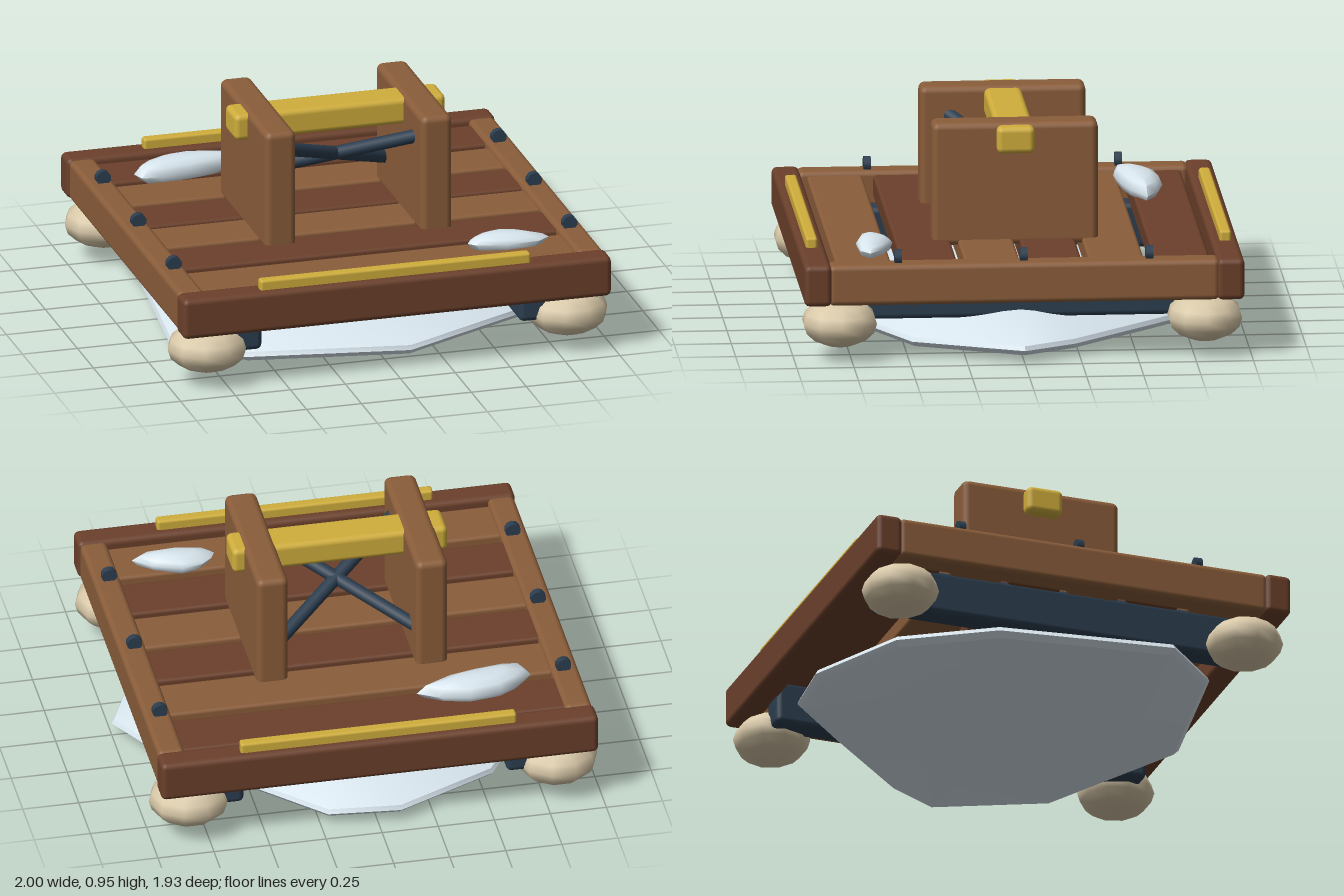
import * as THREE from 'three';
import { RoundedBoxGeometry } from 'three/addons/geometries/RoundedBoxGeometry.js';
import { toCreasedNormals } from 'three/addons/utils/BufferGeometryUtils.js';

const mat = (color) => new THREE.MeshStandardMaterial({ color });

export function createModel() {
  const model = new THREE.Group();
  const darkWood = mat(0x6b402b), lightWood = mat(0x8a5d3a), gold = mat(0xd0ae3c);
  const steel = mat(0x2c3e50), stone = mat(0xd8c8a8), snow = mat(0xd9e6ee);

  const add = (name, geometry, material, x = 0, y = 0, z = 0) => {
    const mesh = new THREE.Mesh(geometry, material);
    mesh.name = name;
    mesh.position.set(x, y, z);
    model.add(mesh);
    return mesh;
  };
  const box = (name, material, [w, h, d], [x, y, z], r = 0.025) =>
    add(name, new RoundedBoxGeometry(w, h, d, 2, r), material, x, y, z);

  // Round bar between two points
  const bar = (name, a, b, r) => {
    const from = new THREE.Vector3(...a), dir = new THREE.Vector3(...b).sub(from);
    const mesh = add(name, new THREE.CylinderGeometry(r, r, dir.length(), 10), steel);
    mesh.position.copy(from).addScaledVector(dir, 0.5);
    mesh.quaternion.setFromUnitVectors(new THREE.Vector3(0, 1, 0), dir.normalize());
  };

  // Mound: an outline [x, z] repeated as rings [scale, y] from bottom to top
  const mound = (outline, rings, [cx, cz], crease) => {
    const n = outline.length, pos = [], index = [];
    rings.forEach(([s, y], i) => outline.forEach(([x, z], j) => {
      pos.push(cx + (x - cx) * s, y, cz + (z - cz) * s);
      if (i === rings.length - 1) return;
      const k = (j + 1) % n, a = i * n + j, b = i * n + k, c = a + n, d = b + n;
      if (s > 0) index.push(a, b, c);
      if (rings[i + 1][0] > 0) index.push(b, d, c);
    }));
    const g = new THREE.BufferGeometry();
    g.setAttribute('position', new THREE.Float32BufferAttribute(pos, 3));
    g.setIndex(index);
    g.computeVertexNormals();
    return toCreasedNormals(g, crease);
  };

  // Snow slab under the platform
  add('snowSlab', mound(
    [[1, 0], [0.87, -0.23], [0.5, -0.62], [0.22, -0.9], [-0.1, -0.93], [-0.55, -0.72],
      [-0.8, -0.33], [-0.89, 0.45], [-0.62, 0.71], [0.1, 0.83], [0.78, 0.48]],
    [[0, 0.005], [0.5, 0.012], [0.97, 0.04], [1, 0.065], [0.99, 0.085],
      [0.75, 0.18], [0.45, 0.235], [0, 0.245]], [0, 0], 0.7), snow);

  // Snow patches on the deck
  const patch = (outline, center, top) => add('snowPatch', mound(outline,
    [[0, 0.42], [0.85, 0.43], [1, 0.462], [0.85, top - 0.018], [0.5, top - 0.003], [0, top]],
    center, 1.2), snow);
  patch([[-0.75, -0.58], [-0.73, -0.52], [-0.65, -0.51], [-0.5, -0.53], [-0.37, -0.56], [-0.23, -0.63],
    [-0.32, -0.68], [-0.45, -0.71], [-0.6, -0.69], [-0.69, -0.64]], [-0.52, -0.61], 0.517);
  patch([[0.41, 0.65], [0.44, 0.68], [0.57, 0.71], [0.72, 0.7], [0.775, 0.66],
    [0.7, 0.6], [0.57, 0.55], [0.48, 0.57], [0.43, 0.61]], [0.58, 0.635], 0.497);

  // Deck planks in alternating wood
  [-0.7, -0.413, -0.14, 0.13, 0.405, 0.695].forEach((z, i) =>
    box('deckPlank', i % 2 ? lightWood : darkWood, [1.72, 0.1, 0.243], [0, 0.385, z], 0.015));

  for (const s of [-1, 1]) {
    // Frame, trim and support beams
    box('endRail', darkWood, [1.95, 0.185, 0.12], [0, 0.363, s * 0.904]);
    box('sideRail', lightWood, [0.12, 0.183, 1.71], [s * 0.908, 0.362, 0]);
    box('goldTrim', gold, [1.23, 0.06, 0.05], [0, 0.47, s * 0.906], 0.012);
    box('supportBeam', steel, [0.13, 0.2, 1.72], [s * 0.65, 0.25, 0]);

    // Stone feet
    for (const t of [-1, 1]) {
      const foot = add('stoneFoot', new THREE.SphereGeometry(1, 10, 8), stone, s * 0.82, 0.17, t * 0.8);
      foot.scale.set(0.18, 0.108, 0.168);
    }

    // Bolts on the side rails
    for (const z of [-0.55, 0, 0.55]) bar('railBolt', [s * 0.9, 0.475, z - 0.016], [s * 0.9, 0.475, z + 0.016], 0.034);

    // Upright boards and the crossed braces between them
    box('upright', lightWood, [0.142, 0.55, 0.727], [s * 0.355, 0.682, 0], 0.03);
    bar('crossBrace', [-0.32, 0.695 + s * 0.143, s * 0.25], [0.32, 0.695 - s * 0.143, -s * 0.25], 0.03);
  }

  // Top handle bar through both uprights
  box('handleBar', gold, [0.96, 0.12, 0.166], [-0.003, 0.886, 0]);

  return model;
}
